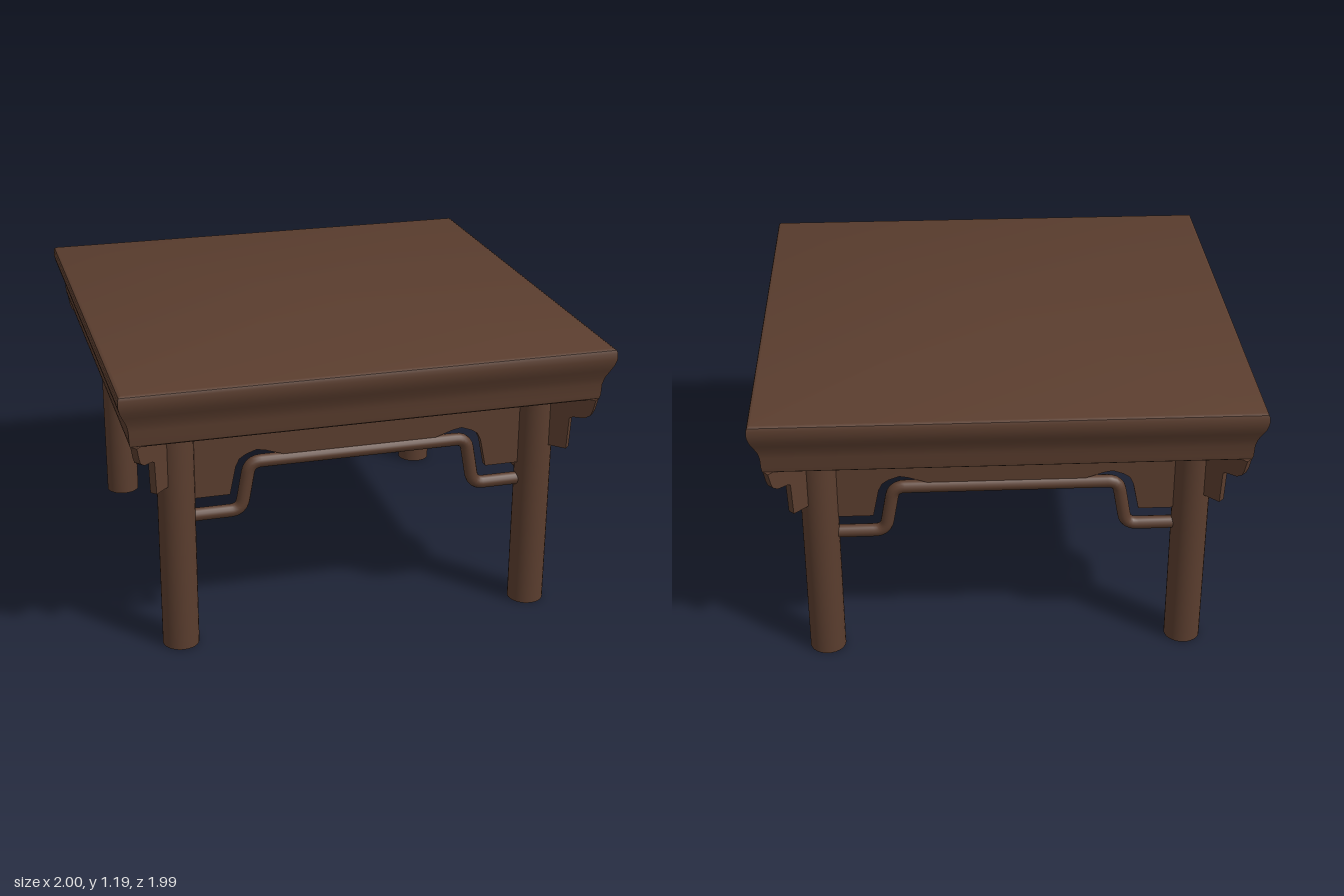
import * as THREE from 'three';
import { toCreasedNormals } from 'three/addons/utils/BufferGeometryUtils.js';

const LEG_X = 0.755, LEG_Z = 0.77, TOP_Y = 0.96;

// Flat board cut from an outline, centred on its own thickness
function board(points, thickness) {
  const shape = new THREE.Shape(points.map(([x, y]) => new THREE.Vector2(x, y)));
  const geo = new THREE.ExtrudeGeometry(shape, { depth: thickness, bevelEnabled: false });
  return geo.translate(0, 0, -thickness / 2);
}

// Path through the points with softly rounded corners
function roundedPath(points, radius) {
  const p = points.map(([x, y]) => new THREE.Vector3(x, y, 0));
  const path = new THREE.CurvePath();
  let from = p[0];
  for (let i = 1; i < p.length - 1; i++) {
    const a = p[i].clone().add(p[i - 1].clone().sub(p[i]).setLength(radius));
    const b = p[i].clone().add(p[i + 1].clone().sub(p[i]).setLength(radius));
    path.add(new THREE.LineCurve3(from, a));
    path.add(new THREE.QuadraticBezierCurve3(a, p[i], b));
    from = b;
  }
  path.add(new THREE.LineCurve3(from, p[p.length - 1]));
  return path;
}

// Mirror a half outline (given from the left end to the middle) across x = 0
const mirrored = (half) => [...half, ...half.map(([x, y]) => [-x, y]).reverse()];

export function createModel() {
  const model = new THREE.Group();
  model.name = 'squareTable';
  const wood = new THREE.MeshStandardMaterial({ color: 0x5a3d2e });
  wood.name = 'darkWood';

  const add = (parent, name, geo) => {
    const mesh = new THREE.Mesh(geo, wood);
    mesh.name = name;
    parent.add(mesh);
    return mesh;
  };

  // Tabletop: moulded edge profile swept round a square
  const profile = [
    [0, 0.96], [0.945, 0.96], [0.955, 0.967], [0.958, 0.985], [0.96, 1.03], [0.967, 1.06],
    [0.983, 1.095], [0.994, 1.12], [1, 1.145], [1, 1.172], [0.996, 1.184], [0.985, 1.19], [0, 1.19],
  ].map(([r, y]) => new THREE.Vector2(r * Math.SQRT2, y));
  const top = new THREE.LatheGeometry(profile, 4, Math.PI / 4).scale(1, 1, 0.995);
  add(model, 'tabletop', toCreasedNormals(top, 0.65));

  // Legs and the stepped brackets that point out to the corners
  const legGeo = new THREE.CylinderGeometry(0.075, 0.075, TOP_Y + 0.005, 28);
  const bracketGeo = board([
    [0, 0.73], [0.15, 0.73], [0.157, 0.868], [0.172, 0.875], [0.222, 0.88],
    [0.245, 0.895], [0.255, 0.92], [0.265, 0.965], [0, 0.965],
  ], 0.03);
  for (const sx of [-1, 1]) for (const sz of [-1, 1]) {
    const corner = new THREE.Group();
    corner.name = 'legCorner';
    corner.position.set(sx * LEG_X, 0, sz * LEG_Z);
    add(corner, 'leg', legGeo).position.y = (TOP_Y + 0.005) / 2;
    add(corner, 'cornerBracket', bracketGeo).rotation.y = -Math.atan2(sz, sx);
    model.add(corner);
  }

  // Each side: shaped apron with a humped stretcher below it
  const sides = [
    ['front', LEG_X, LEG_Z, 0], ['left', LEG_Z, LEG_X, 1],
    ['back', LEG_X, LEG_Z, 2], ['right', LEG_Z, LEG_X, 3],
  ];
  for (const [name, half, distance, turn] of sides) {
    const d = half - LEG_X;
    const side = new THREE.Group();
    side.name = name + 'Side';
    side.rotation.y = turn * Math.PI / 2;

    const apron = board(mirrored([
      [-half, 0.965], [-half, 0.645], [-0.54 - d, 0.645], [-0.515 - d, 0.765], [-0.5 - d, 0.795],
      [-0.475 - d, 0.812], [-0.43 - d, 0.828], [-0.395 - d, 0.822], [-0.32 - d, 0.797],
    ]), 0.03);
    add(side, name + 'Apron', apron).position.z = distance;

    const path = roundedPath(mirrored([
      [-half + 0.02, 0.567], [-0.492 - d, 0.567], [-0.455 - d, 0.772],
    ]), 0.045);
    const bar = new THREE.TubeGeometry(path, 120, 0.027, 14);
    add(side, name + 'Stretcher', bar).position.z = distance;
    model.add(side);
  }
  return model;
}
